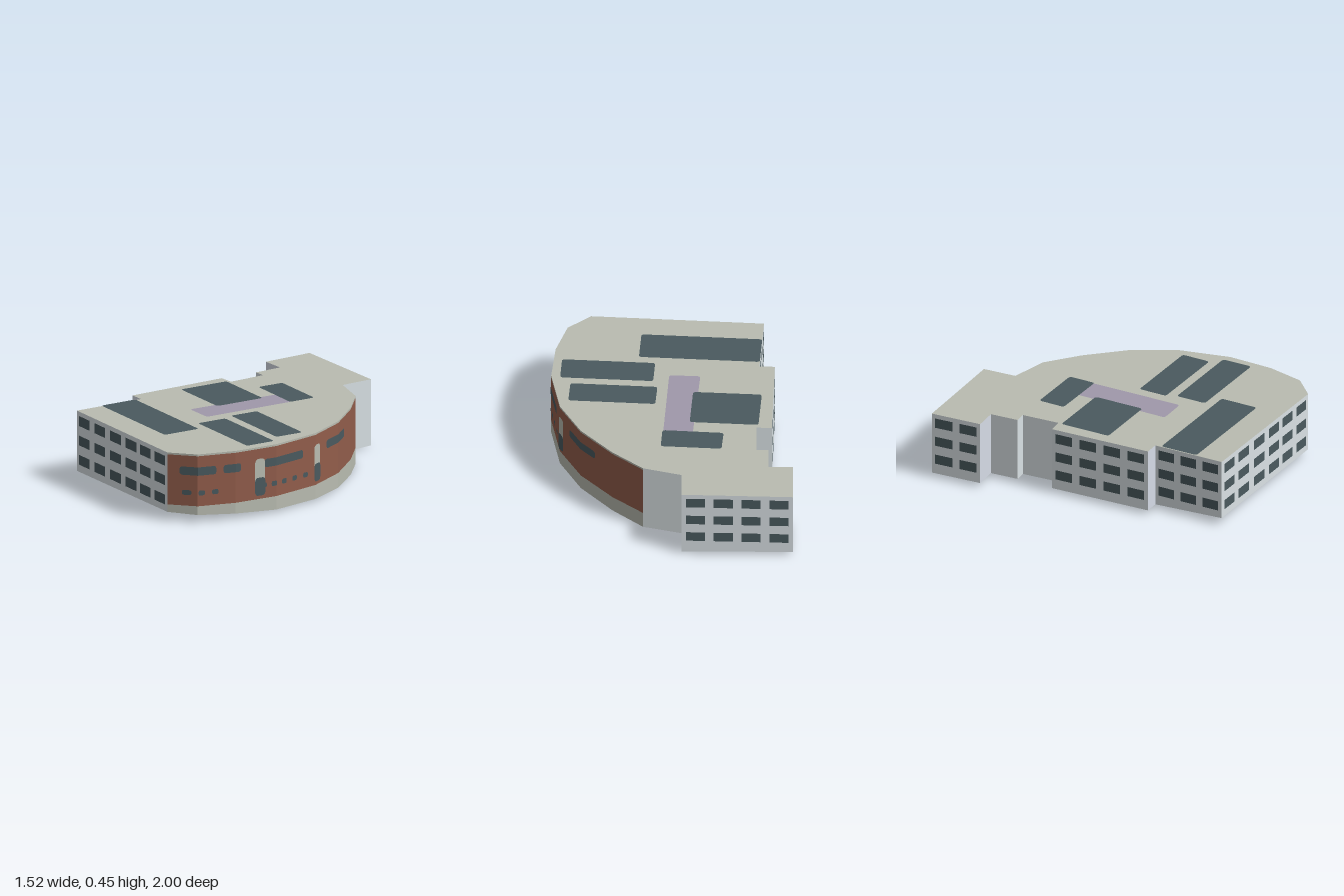
import * as THREE from 'three';

const mat = (name, color) => {
  const m = new THREE.MeshStandardMaterial({ color });
  m.name = name;
  return m;
};

const TOP = 0.443, BRICK_LOW = 0.105, BRICK_HIGH = 0.431;

// Footprint corners, clockwise from above: x, z, height of the ground edge
const PLAN = [
  [-0.758, -1.0, 0.03], [-0.062, -0.975, 0.012], [-0.062, -0.757, 0.003],
  [0.18, -0.683, 0], [0.372, -0.508, 0.005], [0.57, -0.27, 0.01], [0.702, 0, 0.014],
  [0.758, 0.34, 0.017], [0.731, 0.633, 0.035], [0.657, 0.872, 0.048], [0.51, 1.0, 0.056],
  [-0.57, 0.922, 0.05], [-0.544, 0.449, 0.03], [-0.64, 0.444, 0.03],
  [-0.624, -0.231, 0.03], [-0.528, -0.231, 0.03], [-0.528, -0.479, 0.03],
  [-0.604, -0.479, 0.03], [-0.604, -0.664, 0.03], [-0.758, -0.664, 0.03],
];
const CURVE_START = 3, CURVE_END = 10;

function geometry(positions) {
  const g = new THREE.BufferGeometry();
  g.setAttribute('position', new THREE.Float32BufferAttribute(positions, 3));
  g.computeVertexNormals();
  return g;
}

// Upright quad between two plan points, facing outward
function quad(out, a, b, a0, a1, b0, b1) {
  out.push(a[0], a0, a[1], a[0], a1, a[1], b[0], b1, b[1]);
  out.push(a[0], a0, a[1], b[0], b1, b[1], b[0], b0, b[1]);
}

// Flat cap over the footprint, facing up or down
function cap(heightOf, up) {
  const pts = PLAN.map(p => new THREE.Vector2(p[0], -p[1]));
  const out = [];
  for (const t of THREE.ShapeUtils.triangulateShape(pts, [])) {
    const ccw = THREE.ShapeUtils.area(t.map(i => pts[i])) > 0;
    const order = ccw === up ? t : [t[0], t[2], t[1]];
    for (const i of order) out.push(PLAN[i][0], heightOf(PLAN[i]), PLAN[i][1]);
  }
  return geometry(out);
}

// Grid of windows on one straight wall; columns are [start, end] fractions
const ROWS = [[0.098, 0.162], [0.224, 0.287], [0.35, 0.415]];
function windowGrid(i, columns) {
  const a = PLAN[i], b = PLAN[(i + 1) % PLAN.length];
  const dx = b[0] - a[0], dz = b[1] - a[1], len = Math.hypot(dx, dz);
  const at = t => [a[0] + dx * t + dz / len * 0.002, a[1] + dz * t - dx / len * 0.002];
  const out = [];
  for (const [s, e] of columns)
    for (const [y0, y1] of ROWS) quad(out, at(s), at(e), y0, y1, y0, y1);
  return geometry(out);
}
const evenColumns = (n, fill) =>
  Array.from({ length: n }, (_, k) => [(k + 0.5 - fill / 2) / n, (k + 0.5 + fill / 2) / n]);

// Outer x of the curved facade at a given z
function curveX(z) {
  for (let i = CURVE_START; i < CURVE_END; i++) {
    const a = PLAN[i], b = PLAN[i + 1];
    if (z <= b[1]) return a[0] + (b[0] - a[0]) * (z - a[1]) / (b[1] - a[1]);
  }
  return PLAN[CURVE_END][0];
}

// Round-cornered strip that follows the curved facade
function curvedPanel(z0, z1, y0, y1, r, lift) {
  const zs = [z0, z1];
  for (let k = 1; k <= 4; k++) zs.push(z0 + r * k / 4, z1 - r * k / 4);
  for (let i = CURVE_START; i <= CURVE_END; i++)
    if (PLAN[i][1] > z0 && PLAN[i][1] < z1) zs.push(PLAN[i][1]);
  zs.sort((p, q) => p - q);
  const inset = z => {
    const d = Math.max(0, r - Math.min(z - z0, z1 - z));
    return r - Math.sqrt(Math.max(0, r * r - d * d));
  };
  const out = [];
  for (let k = 0; k + 1 < zs.length; k++) {
    const [p, q] = [zs[k], zs[k + 1]], [ip, iq] = [inset(p), inset(q)];
    quad(out, [curveX(p) + lift, p], [curveX(q) + lift, q], y0 + ip, y1 - ip, y0 + iq, y1 - iq);
  }
  return geometry(out);
}

// Round-cornered sheet on the roof from four corners
function roofPatch(corners, y, r = 0.02) {
  const v = corners.map(c => new THREE.Vector2(c[0], -c[1]));
  const shape = new THREE.Shape();
  v.forEach((p, i) => {
    const from = p.clone().add(v[(i + 3) % 4].clone().sub(p).setLength(r));
    const to = p.clone().add(v[(i + 1) % 4].clone().sub(p).setLength(r));
    if (i) shape.lineTo(from.x, from.y); else shape.moveTo(from.x, from.y);
    shape.quadraticCurveTo(p.x, p.y, to.x, to.y);
  });
  shape.closePath();
  return new THREE.ShapeGeometry(shape, 4).rotateX(-Math.PI / 2).translate(0, y, 0);
}

export function createModel() {
  const group = new THREE.Group();
  group.name = 'building';
  const stone = mat('roofStone', 0xb9bcb1);
  const wall = mat('paleWall', 0xdae2e5);
  const plain = mat('plainWall', 0xd6dce7);
  const brick = mat('brick', 0x925d4b);
  const glass = mat('darkGlass', 0x4a5a5f);
  const violet = mat('violetSkylight', 0xa098aa);
  const under = mat('underside', 0xaeb0b2);
  const add = (name, geo, material) => {
    const m = new THREE.Mesh(geo, material);
    m.name = name;
    group.add(m);
  };

  // Roof and sloping ground face
  add('roof', cap(() => TOP, true), stone);
  add('underside', cap(p => p[2], false), under);

  // Walls: banded brick on the curve, plain elsewhere
  const bands = { base: [], brick: [], wall: [], plain: [] };
  PLAN.forEach((a, i) => {
    const b = PLAN[(i + 1) % PLAN.length];
    if (i >= CURVE_START && i < CURVE_END) {
      quad(bands.base, a, b, a[2], BRICK_LOW, b[2], BRICK_LOW);
      quad(bands.brick, a, b, BRICK_LOW, BRICK_HIGH, BRICK_LOW, BRICK_HIGH);
      quad(bands.base, a, b, BRICK_HIGH, TOP, BRICK_HIGH, TOP);
    } else {
      const target = [12, 18].includes(i) ? bands.plain : bands.wall;
      quad(target, a, b, a[2], TOP, b[2], TOP);
    }
  });
  add('curvedBaseAndCornice', geometry(bands.base), stone);
  add('curvedBrickFacade', geometry(bands.brick), brick);
  add('straightWalls', geometry(bands.wall), wall);
  add('stepWalls', geometry(bands.plain), plain);

  // Window grids on the straight walls
  const frontColumns = [[-0.54, -0.415], [-0.36, -0.23], [-0.17, -0.04], [0.015, 0.145], [0.185, 0.31], [0.36, 0.482]]
    .map(([l, r]) => [(0.51 - r) / 1.08, (0.51 - l) / 1.08]);
  add('frontWindows', windowGrid(10, frontColumns), glass);
  add('backWindows', windowGrid(0, evenColumns(4, 0.69)), glass);
  add('wingSideWindows', windowGrid(19, evenColumns(2, 0.72)), glass);
  add('baySideWindows', windowGrid(13, evenColumns(4, 0.7)), glass);
  add('frontSideWindows', windowGrid(11, evenColumns(3, 0.7)), glass);

  // Long upper windows on the curve
  for (const [z0, z1] of [[0.757, 0.95], [0.597, 0.71], [0.11, 0.425], [-0.38, -0.13]])
    add('ribbonWindow', curvedPanel(z0, z1, 0.305, 0.359, 0.014, 0.003), glass);

  // Small lower windows on the curve
  for (const z of [0.92, 0.848, 0.763, 0.43, 0.355, 0.272, 0.183, 0.088])
    add('smallWindow', curvedPanel(z - 0.02, z + 0.02, 0.175, 0.207, 0.01, 0.003), glass);

  // Two arched entrances
  for (const [z0, z1] of [[0.423, 0.496], [-0.052, 0.013]]) {
    add('entranceArch', curvedPanel(z0, z1, 0.128, 0.368, 0.025, 0.0045), stone);
    add('entranceDoor', curvedPanel(z0, z1, 0.128, 0.245, 0.02, 0.006), glass);
  }

  // Roof panels
  add('violetRoofStrip', roofPatch([[-0.175, 0.335], [0.02, 0.345], [0.055, -0.28], [-0.13, -0.29]], TOP + 0.002), violet);
  for (const c of [
    [[-0.323, -0.295], [0.06, -0.265], [0.07, -0.443], [-0.31, -0.47]],
    [[-0.56, 0.13], [-0.13, 0.158], [-0.11, -0.175], [-0.54, -0.205]],
    [[0.093, 0.213], [0.637, 0.252], [0.65, 0.062], [0.106, 0.024]],
    [[0.108, 0.477], [0.69, 0.517], [0.702, 0.317], [0.12, 0.277]],
    [[-0.56, 0.742], [0.195, 0.795], [0.21, 0.545], [-0.546, 0.492]],
  ]) add('darkRoofPanel', roofPatch(c, TOP + 0.004), glass);

  return group;
}
